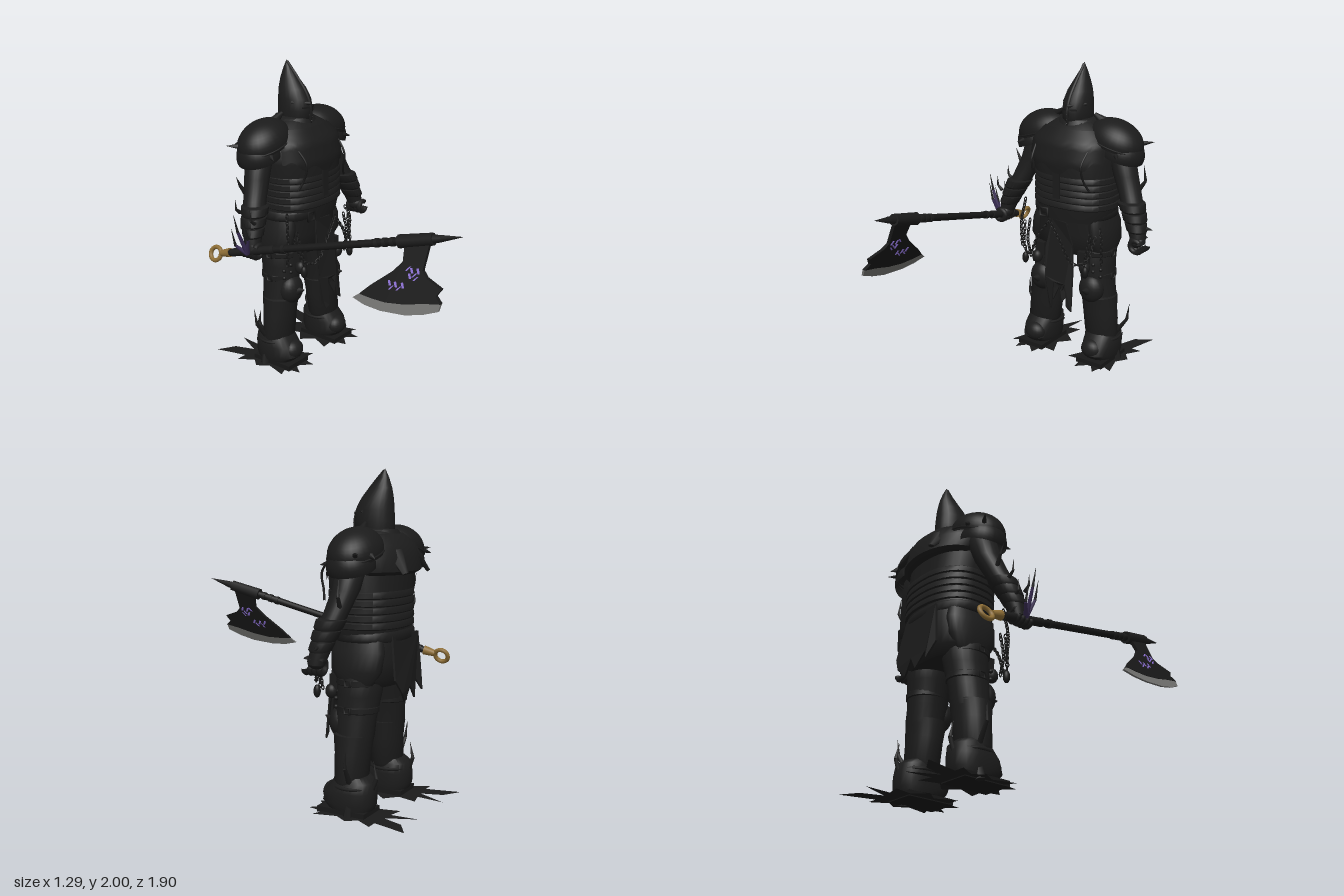
import * as THREE from 'three';
import { toCreasedNormals } from 'three/addons/utils/BufferGeometryUtils.js';

const mat = (name, color, side = THREE.FrontSide) => {
  const m = new THREE.MeshStandardMaterial({ color, side });
  m.name = name;
  return m;
};
const V = (p) => new THREE.Vector3(...p);

export function createModel() {
  const root = new THREE.Group();
  root.name = 'axeWarrior';
  const armor = mat('blackArmor', 0x1c1c1c), cloth = mat('darkCloth', 0x1b1b1b, THREE.DoubleSide);
  const iron = mat('darkIron', 0x181818), edgeGrey = mat('greyEdge', 0x70706e);
  const gold = mat('oldGold', 0x8e6e36), purple = mat('purpleRune', 0x8c70d4), plum = mat('darkPurple', 0x3a2d55);
  const CX = 0.035; // body centre line

  const add = (name, geo, m = armor, pos = [0, 0, 0], scale = [1, 1, 1], rot = [0, 0, 0]) => {
    const mesh = new THREE.Mesh(geo, m);
    mesh.name = name;
    mesh.position.set(...pos); mesh.scale.set(...scale); mesh.rotation.set(...rot);
    root.add(mesh);
    return mesh;
  };
  // Stack of horizontal elliptic rings, bottom to top: [y, cx, cz, rx, rz]
  const sp = (v, pow) => Math.sign(v) * Math.abs(v) ** pow;
  const loft = (name, rings, m = armor, n = 24, pow = 1) => {
    const pos = [], idx = [], k = rings.length;
    for (const [y, cx, cz, rx, rz] of rings)
      for (let j = 0; j < n; j++) {
        const a = j / n * Math.PI * 2;
        pos.push(cx + rx * sp(Math.cos(a), pow), y, cz + rz * sp(Math.sin(a), pow));
      }
    for (const r of [rings[0], rings[k - 1]]) pos.push(r[1], r[0], r[2]);
    for (let j = 0; j < n; j++) {
      const q = (j + 1) % n, t = (k - 1) * n;
      for (let i = 0; i < k - 1; i++) {
        const a = i * n + j, b = i * n + q;
        idx.push(a, a + n, b, a + n, b + n, b);
      }
      idx.push(k * n, j, q, k * n + 1, t + q, t + j);
    }
    const g = new THREE.BufferGeometry();
    g.setAttribute('position', new THREE.Float32BufferAttribute(pos, 3));
    g.setIndex(idx);
    return add(name, toCreasedNormals(g, 0.8), m);
  };
  // Tapered rod or spike between two points
  const rod = (name, a, b, r0, r1, m = armor, n = 12) => {
    const A = V(a), B = V(b), d = B.clone().sub(A);
    const mesh = add(name, new THREE.CylinderGeometry(r1, r0, d.length(), n), m);
    mesh.position.copy(A).lerp(B, 0.5);
    mesh.quaternion.setFromUnitVectors(new THREE.Vector3(0, 1, 0), d.normalize());
    return mesh;
  };
  // Curved thorn in two segments
  const thorn = (name, a, b, c, r, m = armor) => {
    rod(name, a, b, r, r * 0.6, m, 6);
    rod(name + 'Tip', b, c, r * 0.6, 0.0005, armor, 6);
  };
  const ball = (name, p, s, m = armor) => add(name, new THREE.SphereGeometry(1, 20, 14), m, p, s);
  const chain = (name, pts) => {
    const c = new THREE.CatmullRomCurve3(pts.map(V)), n = Math.round(c.getLength() / 0.021);
    const link = new THREE.TorusGeometry(0.011, 0.0038, 5, 9);
    for (let i = 0; i <= n; i++) {
      const mesh = add(name, link, iron, [0, 0, 0], [1.35, 0.9, 1]);
      mesh.position.copy(c.getPointAt(i / n));
      mesh.quaternion.setFromUnitVectors(new THREE.Vector3(1, 0, 0), c.getTangentAt(i / n));
      mesh.rotateX(i % 2 ? Math.PI / 2 : 0);
    }
  };
  const shape = (pts) => new THREE.Shape(pts.map(([x, y]) => new THREE.Vector2(x, y)));
  const sheet = (pts, depth) => new THREE.ExtrudeGeometry(shape(pts), { depth, bevelEnabled: false });

  // Torso, hips, upper back mantle and overlapping belly bands
  const torso = [[1.0, .045, -.53, .26, .2], [1.1, .05, -.53, .285, .215], [1.28, .05, -.53, .285, .22], [1.4, CX, -.52, .295, .225],
    [1.52, CX, -.53, .285, .21], [1.6, CX, -.55, .22, .165], [1.66, CX, -.55, .1, .1]];
  loft('torso', torso, armor, 32, 0.85);
  loft('hips', [[.75, CX, -.56, .24, .15], [.8, CX, -.56, .29, .19], [.9, CX, -.56, .3, .2], [1.02, CX, -.55, .275, .205], [1.09, CX, -.54, .27, .2]], armor, 32, 0.85);
  loft('backMantle', [[1.4, CX, -.6, .27, .17], [1.42, CX, -.6, .3, .2], [1.5, CX, -.59, .32, .2], [1.57, CX, -.585, .28, .175], [1.63, CX, -.58, .17, .12]], armor, 32);
  for (let i = 0; i < 5; i++) {
    const y = 1.09 + i * 0.044;
    loft('bellyBand', [[y, .05, -.53, .288, .22], [y + .006, .05, -.53, .296, .226], [y + .036, .05, -.53, .295, .225], [y + .042, .05, -.53, .288, .22]], armor, 32, 0.85);
  }
  loft('belt', [[1.015, CX, -.545, .28, .208], [1.025, CX, -.545, .288, .215], [1.065, CX, -.54, .288, .215], [1.075, CX, -.54, .28, .208]], cloth, 32, 0.85);
  add('beltBuckle', new THREE.TorusGeometry(.04, .01, 6, 4), iron, [-.08, 1.04, -.325], [1, 1, 1], [0, 0, Math.PI / 4]);
  // Chest bib with a scalloped lower edge, wrapped just outside the torso
  const bib = new THREE.PlaneGeometry(1, 1, 40, 10), bp = bib.attributes.position;
  for (let i = 0; i < bp.count; i++) {
    const u = bp.getX(i), a = Math.PI / 2 - u * 2.3;
    const y = THREE.MathUtils.lerp(1.34 + .16 * Math.abs(u) - .02 * Math.cos(u * 25), 1.605, bp.getY(i) + .5);
    const k = torso.findIndex((r) => r[0] > y), lo = torso[k - 1], hi = torso[k], t = (y - lo[0]) / (hi[0] - lo[0]);
    const [, cx, cz, rx, rz] = lo.map((v, j) => v + (hi[j] - v) * t);
    bp.setXYZ(i, cx + (rx + .012) * sp(Math.cos(a), .85), y, cz + (rz + .012) * sp(Math.sin(a), .85));
  }
  bib.computeVertexNormals();
  add('chestBib', bib, cloth);
  add('chestStrap', new THREE.BoxGeometry(.05, .24, .012), cloth, [CX, 1.28, -.298]);
  loft('collar', [[1.57, CX, -.55, .17, .16], [1.63, CX, -.55, .15, .14], [1.655, CX, -.55, .12, .125]]);

  // Pointed helmet with ridge, brow and visor
  loft('helmet', [[1.6, CX, -.55, .082, .1], [1.63, CX, -.54, .09, .12], [1.7, CX, -.537, .094, .124], [1.77, CX, -.542, .09, .115], [1.83, CX, -.558, .077, .095],
    [1.89, CX, -.578, .051, .066], [1.95, CX, -.593, .024, .032], [2.0, CX, -.6, .002, .002]]);
  add('helmetRidge', new THREE.TubeGeometry(new THREE.CatmullRomCurve3([[CX, 1.62, -.415], [CX, 1.71, -.408], [CX, 1.8, -.44], [CX, 1.89, -.508], [CX, 1.99, -.597]].map(V)), 20, .01, 6), armor);
  for (const y of [1.64, 1.67, 1.7]) rod('visorTooth', [CX, y, -.42], [CX, y - .01, -.395], .01, .001, armor, 5);
  for (const s of [-1, 1]) {
    rod('browBand', [CX, 1.745, -.412], [CX + s * .085, 1.755, -.5], .011, .008);
    add('eyeSlit', new THREE.BoxGeometry(.045, .01, .006), iron, [CX + s * .035, 1.72, -.422], [1, 1, 1], [0, s * .4, 0]);
  }

  for (const s of [-1, 1]) {
    const X = (d) => CX + s * d, P = (d, y, z) => [X(d), y, z];
    // Layered shoulder plates
    const dome = new THREE.SphereGeometry(1, 28, 12, 0, Math.PI * 2, 0, Math.PI * .55);
    add('shoulderPlate', dome, cloth, P(.275, 1.53, -.56), [.195, .14, .155], [0, 0, -s * .3]);
    add('lowerShoulderPlate', dome, cloth, P(.33, 1.455, -.56), [.145, .13, .14], [0, 0, -s * .3]);
    add('shoulderRim', new THREE.TorusGeometry(1, .035, 6, 28), armor, P(.275, 1.525, -.56), [.19, .156, .17], [Math.PI / 2, -s * .3, 0]);
    rod('shoulderRidge', P(.14, 1.66, -.56), P(.4, 1.58, -.56), .009, .006);
    rod('collarWing', P(.21, 1.63, -.56), P(.125, 1.69, -.54), .04, .012, armor, 6);
    rod('shoulderSpike', P(.42, 1.52, -.63), P(.49, 1.53, -.68), .02, .001, armor, 6);
    rod('rearSpike', P(.35, 1.52, -.69), P(.38, 1.5, -.735), .02, .001, armor, 6);
    rod('frontSpike', P(.36, 1.47, -.43), P(.385, 1.46, -.39), .018, .001, armor, 6);
    // Back plates and side cords
    rod('backPlate', P(.13, 1.53, -.73), P(.16, 1.41, -.815), .055, .02, armor, 6).scale.z = .5;
    add('chestCord', new THREE.TubeGeometry(new THREE.CatmullRomCurve3([P(.2, 1.5, -.36), P(.19, 1.4, -.29), P(.2, 1.3, -.31), P(.23, 1.24, -.33)].map(V)), 16, .007, 6), iron);

    // Arm and gauntlet
    loft('arm', [[.92, X(.53), -.455, .045, .05], [1.0, X(.51), -.47, .06, .06], [1.1, X(.47), -.49, .074, .072], [1.2, X(.425), -.52, .073, .072],
      [1.33, X(.365), -.55, .082, .08], [1.45, X(.325), -.56, .09, .085], [1.52, X(.29), -.56, .06, .06]]);
    for (const [y, d, z, r] of [[.99, .515, -.467, .067], [1.05, .493, -.48, .077], [1.11, .467, -.492, .084]])
      loft('gauntletBand', [[y, X(d), z, r - .01, r - .01], [y + .012, X(d - .005), z, r, r], [y + .055, X(d - .022), z - .01, r + .004, r + .004], [y + .065, X(d - .025), z - .01, r - .02, r - .02]]);
    // Curled hand
    ball('palm', P(.52, .935, -.45), [.045, .045, .055]);
    for (let i = 0; i < 4; i++)
      add('finger', new THREE.TorusGeometry(.036, .017, 8, 14, 5.2), armor, P(.54, .912, -.405 - i * .031), [1, 1.1, 1], [0, s < 0 ? Math.PI : 0, .9]);
    // Forearm thorns, tallest on the axe arm
    if (s < 0) for (const [y, z] of [[1.03, -.5], [1.09, -.42], [1.14, -.54]]) thorn('armThorn', P(.54, y, z), P(.575, y + .03, z), P(.58, y + .1, z), .013);
    else rod('wristThorn', P(.57, 1.02, -.48), P(.61, 1.015, -.49), .013, .001, armor, 6);
    thorn('elbowThorn', P(.45, 1.22, -.56), P(.5, 1.3, -.57), P(s < 0 ? .53 : .485, s < 0 ? 1.36 : 1.4, -.57), .017);

    // Leg, knee guard and greave
    loft('leg', [[.1, X(.24), -.53, .1, .09], [.22, X(.235), -.525, .1, .09], [.35, X(.22), -.525, .11, .095], [.46, X(.21), -.535, .113, .112],
      [.56, X(.195), -.53, .113, .122], [.7, X(.175), -.54, .125, .133], [.82, X(.165), -.55, .135, .14], [.88, X(.16), -.55, .11, .12]]);
    loft('greave', [[.18, X(.238), -.525, .11, .09], [.2, X(.236), -.525, .118, .098], [.36, X(.22), -.525, .121, .104], [.47, X(.21), -.525, .122, .12], [.48, X(.21), -.525, .1, .1]]);
    ball('kneePlate', P(.2, .53, -.44), [.09, .1, .072]);
    rod('kneeSpike', P(.2, .53, -.38), P(.2, .55, -.325), .03, .002, armor, 8);
    for (const [y, d, r] of [[.6, .19, .12], [.76, .17, .135]]) {
      loft('thighStrap', [[y, X(d), -.54, r - .006, r], [y + .005, X(d), -.54, r, r + .006], [y + .035, X(d), -.54, r, r + .006], [y + .04, X(d), -.54, r - .006, r]], cloth);
      add('strapBuckle', new THREE.TorusGeometry(.025, .007, 5, 4), iron, P(d + r, y + .02, -.53), [1, 1, 1], [0, Math.PI / 2, Math.PI / 4]);
    }
    for (let i = 0; i < 8; i++) ball('thighStud', P(.12 + (i % 4) * .05, .66 + Math.floor(i / 4) * .05 - (i % 2) * .03, -.413 - Math.abs(i % 4 - 1.5) * .015), [.013, .013, .013], iron);
    thorn('shinThorn', P(.33, .2, -.56), P(.405, .31, -.57), P(.415, .42, -.58), .018);
    thorn('heelSpur', P(.25, .12, -.65), P(.25, .23, -.695), P(.25, .33, -.675), .02);
    // Armoured boot on a raised sole
    loft('boot', [[.035, X(.245), -.53, .108, .14], [.07, X(.245), -.52, .116, .165], [.14, X(.245), -.53, .115, .155], [.2, X(.24), -.55, .108, .125], [.23, X(.238), -.54, .09, .1]], armor, 24, .85);
    ball('toeCap', P(.235, .105, -.41), [.078, .068, .065]);
    add('bootBand', new THREE.TorusGeometry(.125, .01, 6, 24), armor, P(.24, .17, -.545), [.93, 1, 1], [Math.PI / 2, 0, 0]);
    add('sole', new THREE.BoxGeometry(.2, .035, .31), iron, P(.245, .0175, -.508));
    rod('heelShard', P(.35, 0, -.56), P(.315, .21, -.57), .03, .004, armor, 5);
    // Flat ground splinters radiating from the foot
    const star = [[.175, -.39], [.065, -.32], [.02, -.19], [-.065, -.37], [-.05, -.2], [-.14, -.22], [-.11, -.1], [-.19, -.03], [-.12, .05], [-.18, .18], [-.08, .17],
      [-.06, .28], [.02, .2], [.08, .28], [.1, .17], [.17, .2], [.13, .06], [.18, -.02], [.13, -.08], [.19, -.18], [.12, -.18]];
    add('groundSplinters', new THREE.ShapeGeometry(shape(star.map(([x, z]) => [s * x, -z]))), cloth, P(.24, .006, -.56), [1, 1, 1], [-Math.PI / 2, 0, 0]);

    // Hip plates, pouches and hanging chains
    loft('hipPlate', [[.77, X(.23), -.55, .06, .11], [.85, X(.235), -.55, .074, .16], [.96, X(.22), -.55, .074, .17], [1.04, X(.2), -.55, .07, .15]]);
    ball('hipTrophy', P(.19, .7, -.36), [.037, .045, .038]);
    add('pouch', new THREE.BoxGeometry(.07, .09, .05), cloth, P(.17, .76, -.38));
    chain('beltChain', [P(0, 1.03, -.225), P(.08, .92, -.22), P(.17, .76, -.245), P(.24, .77, -.285), P(.28, .93, -.335)]);
    chain('hipChain', [P(.3, s < 0 ? 1.08 : .98, -.37), P(.32, .92, -.35), P(.32, .76, -.36)]);
    chain('thighChain', [P(.24, .95, -.34), P(.235, .83, -.31), P(.21, .72, -.31)]);
    ball('chainWeight', P(.24, .7, -.29), [.022, .04, .022], iron);
  }

  // Ragged front and back cloths, drifting forward or back as they fall
  const drape = (name, pts, z, lean) => {
    const g = sheet(pts, .012), p = g.attributes.position;
    for (let i = 0; i < p.count; i++) p.setZ(i, p.getZ(i) + z + lean * (1 - p.getY(i)) + .012 * Math.sin(p.getX(i) * 70));
    g.computeVertexNormals();
    add(name, g, cloth);
  };
  drape('frontCloth', [[-.02, 1], [-.05, .8], [-.045, .6], [-.035, .4], [-.01, .42], [0, .37], [.025, .39], [.03, .58], [.055, .56], [.07, .52], [.085, .56], [.1, .53], [.12, .58], [.135, .42], [.17, .39], [.165, .7], [.15, .85], [.1, 1]], -.335, .07);
  drape('frontUnderCloth', [[0, .98], [-.02, .7], [-.01, .5], [.03, .45], [.06, .55], [.1, .45], [.14, .5], [.14, .8], [.1, .98]], -.36, .1);
  drape('backCloth', [[-.12, 1.05], [-.15, .8], [-.1, .7], [-.06, .77], [0, .67], [.05, .75], [.11, .66], [.17, .72], [.22, .8], [.19, 1.05]], -.755, -.13);

  // Two-handed axe: points along its shaft
  const A = (z) => [-.345 - .118 * (.95 - z), 1.27 - .26 * (.95 - z), z];
  rod('axeShaft', A(-.64), A(.6), .021, .023, iron, 16);
  rod('axeGrip', A(-.6), A(-.3), .026, .026, cloth, 16);
  for (const z of [-.3, -.22, .42, .47, .52]) rod('shaftCollar', A(z), A(z + .022), .027, .027, armor, 16);
  rod('axeSocket', A(.57), A(.78), .04, .036, armor, 10);
  rod('axeTipBase', A(.78), A(.83), .025, .02, armor, 10);
  rod('axeTip', A(.82), A(.95), .021, .001, armor, 8);
  rod('pommelSocket', A(-.69), A(-.62), .02, .03, gold, 14);
  // Pommel ring lies in the plane of the blade
  const ringNormal = new THREE.Vector3(.118, .26, 1).cross(new THREE.Vector3(.43, 1, 0)).normalize();
  add('pommelRing', new THREE.TorusGeometry(.043, .014, 8, 28), gold, A(-.735)).quaternion.setFromUnitVectors(new THREE.Vector3(0, 0, 1), ringNormal);
  // Blade plates drawn as (z, y) outlines, then leaned sideways off the shaft
  const plate = (name, pts, w, off, m) => {
    const g = sheet(pts, w), p = g.attributes.position;
    for (let i = 0; i < p.count; i++) {
      const z = p.getX(i), y = p.getY(i), a = A(z);
      p.setXYZ(i, a[0] + .43 * (y - a[1]) - (p.getZ(i) - w / 2) + off, y, z);
    }
    g.computeVertexNormals();
    add(name, g, m);
  };
  plate('axeBlade', [[.767, 1.2], [.765, 1.06], [.8, 1.03], [.905, .995], [.88, .955], [.92, .925], [.82, .905], [.7, .873], [.58, .855], [.48, .855], [.4, .86], [.46, .92], [.58, 1.02], [.63, 1.08], [.615, 1.17]], .024, 0, iron);
  plate('axeEdge', [[.92, .925], [.915, .885], [.83, .85], [.72, .82], [.56, .805], [.45, .81], [.36, .83], [.4, .86], [.48, .855], [.58, .855], [.7, .873], [.82, .905]], .016, 0, edgeGrey);
  const runes = [[.74, 1.055], [.722, 1.03], [.7, 1.05], [.735, 1.015], [.695, 1.02], [.675, 1.055], [.665, .965], [.645, .945], [.62, .96], [.597, .94], [.58, .96]];
  runes.forEach(([z, y], i) => {
    const t = i % 2 ? .01 : -.008;
    for (const o of [-.014, .014])
      plate('bladeRune', [[z - .006 - t, y - .014], [z + .006 - t, y - .012], [z + .007 + t, y + .014], [z - .005 + t, y + .01]], .004, o, purple);
  });

  // Dark purple shards with black tips around the axe hand
  for (const [x, y, z] of [[-.645, 1.18, -.46], [-.61, 1.13, -.41], [-.63, 1.08, -.5]])
    thorn('wristShard', [-.55, .9, -.45], [x + .03, y - .12, z], [x, y, z], .015, plum);
  return root;
}
